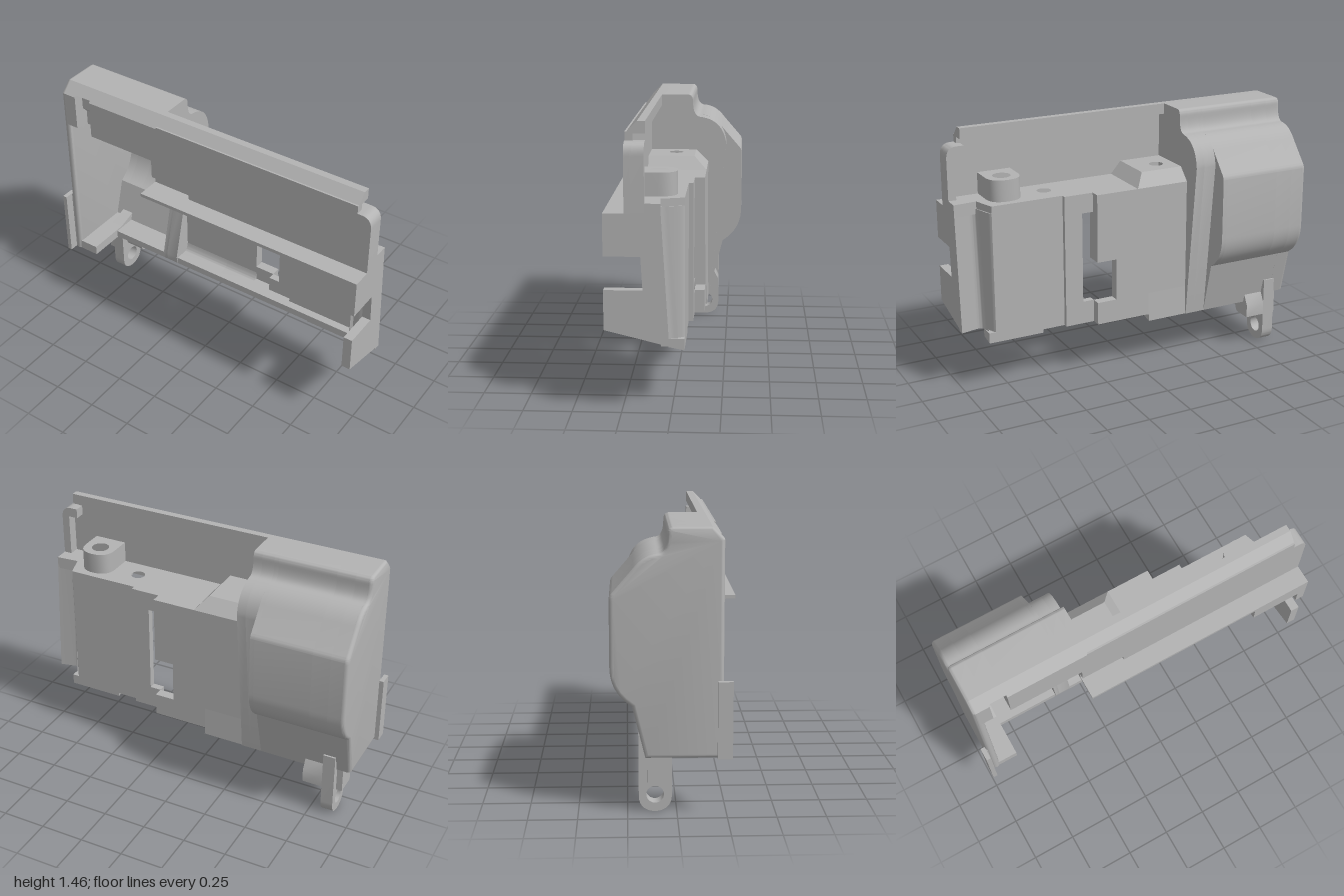
import * as THREE from 'three';
import { toCreasedNormals } from 'three/addons/utils/BufferGeometryUtils.js';

const grey = new THREE.MeshStandardMaterial({ color: 0xb3b3b3 });
grey.name = 'grey plastic';

export function createModel() {
  const model = new THREE.Group();
  model.name = 'housing';

  const add = (name, geometry) => {
    const mesh = new THREE.Mesh(toCreasedNormals(geometry, 0.6), grey);
    mesh.name = name;
    model.add(mesh);
    return mesh;
  };
  // Two numbers draw a line, four draw a curve; s flips the first or second axis
  const outline = (points, sx = 1, sy = 1, holes = []) => {
    const shape = new THREE.Shape();
    points.forEach((p, i) => {
      const q = p.map((v, k) => v * (k % 2 ? sy : sx));
      if (i === 0) shape.moveTo(...q);
      else if (q.length === 4) shape.quadraticCurveTo(...q);
      else shape.lineTo(...q);
    });
    for (const [a, b, r] of holes) {
      shape.holes.push(new THREE.Path().absarc(a * sx, b * sy, r, 0, Math.PI * 2, true));
    }
    return shape;
  };
  const extrude = (shape, depth, extra = {}) =>
    new THREE.ExtrudeGeometry(shape, { depth, bevelEnabled: false, curveSegments: 10, ...extra });
  // Section of [z, y] points swept along x
  const alongX = (name, points, x0, x1, holes) =>
    add(name, extrude(outline(points, -1, 1, holes), x1 - x0).rotateY(Math.PI / 2).translate(x0, 0, 0));
  // Plan of [x, z] points swept along y
  const alongY = (name, points, y0, y1, holes) =>
    add(name, extrude(outline(points, 1, -1, holes), y1 - y0).rotateX(-Math.PI / 2).translate(0, y0, 0));
  // Elevation of [x, y] points swept along z
  const alongZ = (name, points, z0, z1) =>
    add(name, extrude(outline(points), z1 - z0).translate(0, 0, z0));
  const box = (name, x0, x1, y0, y1, z0, z1) =>
    add(name, new THREE.BoxGeometry(x1 - x0, y1 - y0, z1 - z0)
      .translate((x0 + x1) / 2, (y0 + y1) / 2, (z0 + z1) / 2));

  // Bulge: outer back profile, then the inner cavity profile
  const shoulder = [[0.17, 1.46], [-0.02, 1.46], [-0.05, 1.46, -0.05, 1.42], [-0.05, 1.33, -0.1, 1.33]];
  const bulgeBack = [...shoulder, [-0.17, 1.325, -0.225, 1.25], [-0.32, 1.14],
    [-0.335, 1.125, -0.335, 1.1], [-0.335, 0.77], [-0.335, 0.64, -0.225, 0.57]];
  const stepBack = [...shoulder, [-0.23, 1.31, -0.245, 1.17]];
  const cavity = [[0.02, 0.31], [0.02, 0.35], [-0.12, 0.35], [-0.185, 0.57],
    [-0.3, 0.64, -0.3, 0.8], [-0.3, 1.11]];
  const ribFront = [[0.02, 0.31], [0.03, 0.36], [-0.1, 0.85], [-0.1, 1.11],
    [0.14, 1.18], [0.23, 1.18], [0.23, 1.4]];

  alongX('bulgeLeftSlice', [...bulgeBack, [-0.16, 0.305], ...cavity, [0.23, 1.2], [0.23, 1.4]], -0.955, -0.88);
  alongX('bulgeClipSlot', [...bulgeBack, [-0.155, 0.29], ...cavity, [0.14, 1.18], [0.14, 1.27],
    [0.17, 1.3], [0.17, 1.41], [0.22, 1.41]], -0.88, -0.78);
  alongX('bulgeShell', [...bulgeBack, [-0.15, 0.27], ...cavity, [0.23, 1.18], [0.23, 1.4]], -0.78, -0.455);
  alongX('bulgeSideWall', [...bulgeBack, [-0.15, 0.27], ...ribFront], -0.455, -0.43);
  alongX('rib', [...stepBack, [-0.15, 0.27], ...ribFront], -0.43, -0.36);
  alongX('bulgeStep', [...stepBack, [-0.15, 0.27], [-0.1, 0.27], [-0.1, 1.07],
    [0.23, 1.07], [0.23, 1.4]], -0.36, -0.31);

  // End wall beside the bulge, with softened edges
  add('endWall', extrude(outline([...bulgeBack, [-0.16, 0.305], [0.23, 0.305], [0.23, 1.4]], -1, 1), 0.005,
    { bevelEnabled: true, bevelSize: 0.02, bevelOffset: -0.02, bevelThickness: 0.02, bevelSegments: 4 })
    .rotateY(Math.PI / 2).translate(-0.955, 0, 0));
  box('endWallFlange', -1, -0.975, 0.305, 0.7, 0.2, 0.275);
  box('endWallFlangeReturn', -0.985, -0.94, 0.305, 0.7, 0.2, 0.225);
  box('floorLedge', -0.94, -0.82, 0.305, 0.36, -0.15, 0.225);

  // Upper panel with its chamfered lip and end frame
  alongZ('upperPanel', [[-0.32, 1.07], [-0.11, 1.07], [-0.11, 1.01], [1, 1.01], [1, 1.3],
    [1, 1.365, 0.94, 1.365], [0.92, 1.365], [0.92, 1.41], [-0.32, 1.41]], 0.19, 0.23);
  alongX('topLip', [[0.23, 1.4], [0.17, 1.46], [0.13, 1.46], [0.13, 1.4]], -0.31, 0.92);
  alongZ('panelEndFrame', [[0.955, 1.02], [1, 1.02], [1, 1.3], [1, 1.365, 0.94, 1.365],
    [0.9, 1.365], [0.9, 1.31], [0.955, 1.31]], 0.13, 0.2);

  // Ledge and top deck of the lower body
  box('frontShelf', -0.36, 1, 1.0, 1.02, 0.19, 0.335);
  box('shelfDrop', 0.66, 1, 0.9, 1.0, 0.1, 0.335);
  alongY('deck', [[-0.36, 0.2], [-0.36, -0.14], [0.25, -0.14], [0.25, -0.085], [0.42, -0.085],
    [0.42, -0.06], [0.83, -0.06], [0.87, 0.06], [1, 0.05], [1, 0.2]], 1.0, 1.07,
  [[-0.21, 0.04, 0.04], [0.47, 0.075, 0.04]]);
  alongY('screwBoss', [[0.62, 0.2], [0.62, 0.075], [0.62, -0.02, 0.715, -0.02],
    [0.81, -0.02, 0.81, 0.075], [0.81, 0.2]], 1.07, 1.19, [[0.715, 0.075, 0.05]]);

  // Raised pad with a ramp on its right and a chamfer at the back
  alongY('raisedPad', [[-0.32, 0.2], [-0.32, -0.07], [-0.06, -0.07], [-0.06, 0.2]], 1.07, 1.14,
    [[-0.21, 0.04, 0.04]]);
  alongX('padChamfer', [[-0.07, 1.07], [-0.07, 1.14], [-0.14, 1.07]], -0.32, -0.06);
  const ramp = alongZ('padRamp', [[-0.06, 1.07], [0, 1.07], [-0.06, 1.14]], -0.14, 0.2);
  const rp = ramp.geometry.attributes.position;
  for (let i = 0; i < rp.count; i++) {
    if (rp.getY(i) > 1.1 && rp.getZ(i) < 0) rp.setZ(i, -0.07);
  }
  ramp.geometry.computeVertexNormals();

  // Stepped back wall, cut by the window
  alongZ('backWallDeep', [[-0.36, 0.31], [0.25, 0.31], [0.25, 0.44], [0.135, 0.44], [0.135, 0.68],
    [0.25, 0.68], [0.25, 1.03], [-0.36, 1.03]], -0.14, -0.085);
  alongZ('backWallMiddle', [[0.25, 0.31], [0.42, 0.31], [0.42, 1.03], [0.23, 1.03], [0.23, 0.96],
    [0.315, 0.96], [0.315, 0.44], [0.25, 0.44]], -0.085, -0.045);
  box('backWallShallow', 0.4, 0.82, 0.31, 1.03, -0.06, -0.025);
  box('pocketStep', 0.23, 0.25, 0.68, 1.0, -0.09, -0.045);

  // Floor of the lower body
  alongX('floorLeft', [[-0.145, 0.27], [0.02, 0.31], [0.02, 0.35], [-0.06, 0.35],
    [-0.085, 0.36, -0.09, 0.44], [-0.14, 0.44]], -0.43, -0.07);
  alongX('floorMiddle', [[-0.14, 0.31], [0.02, 0.31], [0.02, 0.35], [-0.06, 0.35],
    [-0.085, 0.36, -0.09, 0.44], [-0.14, 0.44]], -0.07, 0.135);
  box('floorWindow', 0.135, 0.42, 0.31, 0.35, -0.085, 0.02);
  box('floorRight', 0.42, 0.87, 0.31, 0.35, -0.06, 0.02);
  alongX('floorSkid', [[-0.06, 0.29], [-0.06, 0.32], [0.02, 0.32], [0.02, 0.305]], 0.55, 0.87);

  // Curled right end, leaning back toward the bottom
  const curl = alongY('rightEndCurl', [[0.8, -0.06], [0.83, -0.06], [0.845, -0.05, 0.87, 0.05],
    [0.88, 0.075, 0.91, 0.07], [1, 0.05], [1, 0.09], [0.91, 0.11], [0.86, 0.11, 0.84, 0.06],
    [0.8, -0.025]], 0.35, 1.03);
  const cp = curl.geometry.attributes.position;
  for (let i = 0; i < cp.count; i++) {
    if (cp.getX(i) > 0.86) cp.setZ(i, cp.getZ(i) - (1.03 - cp.getY(i)) * 0.06);
  }
  alongX('rightEndPlate', [[0.335, 1.02], [0.335, 0.805], [0.15, 0.805], [0.14, 0.635], [0.335, 0.635],
    [0.335, 0.43], [0.03, 0.355], [0.07, 1.02]], 0.95, 1);

  // Hanging lug with an eye, and its brackets
  alongX('lug', [[-0.025, 0.36], [-0.025, 0.085], [-0.025, 0.035, -0.06, 0.014], [-0.11, -0.014, -0.16, 0.014],
    [-0.193, 0.035, -0.193, 0.085], [-0.193, 0.4], [-0.15, 0.4]], -0.89, -0.82, [[-0.11, 0.09, 0.045]]);
  box('lugShoulder', -0.925, -0.88, 0.16, 0.36, -0.15, -0.03);
  alongX('lugBracket', [[-0.07, 0.34], [-0.07, 0.22], [-0.07, 0.185, -0.105, 0.185], [-0.193, 0.185],
    [-0.193, 0.26], [-0.15, 0.34]], -0.82, -0.705);

  return model;
}
